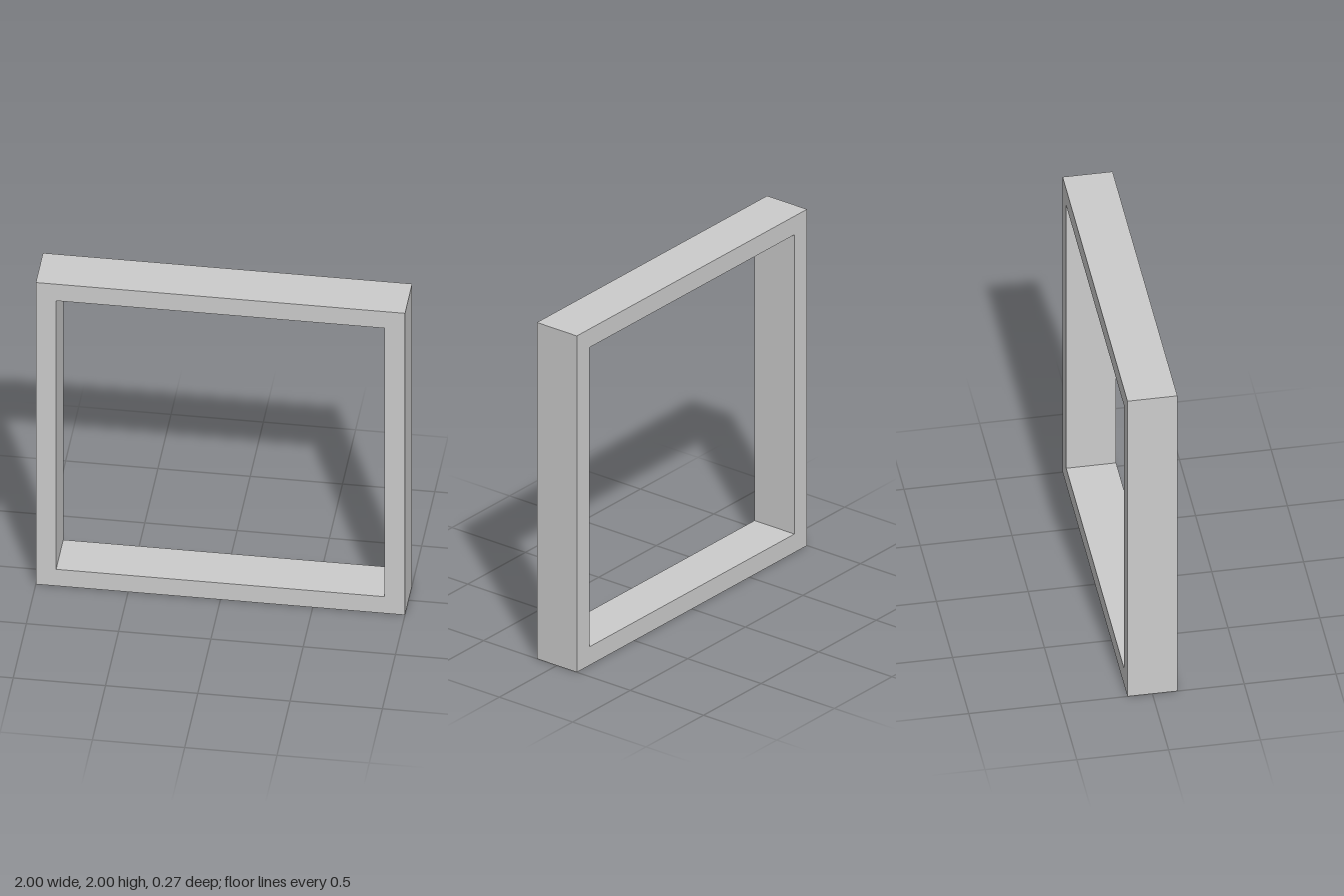
import * as THREE from 'three';

const SIZE = 2, BORDER = 0.11, DEPTH = 0.272;

// Square outline, wound counter-clockwise
function square(path, half) {
  path.moveTo(-half, -half);
  path.lineTo(half, -half);
  path.lineTo(half, half);
  path.lineTo(-half, half);
  path.closePath();
  return path;
}

export function createModel() {
  const group = new THREE.Group();
  group.name = 'squareFrame';

  // Square frame with an open centre
  const shape = square(new THREE.Shape(), SIZE / 2);
  shape.holes.push(square(new THREE.Path(), SIZE / 2 - BORDER));
  const geometry = new THREE.ExtrudeGeometry(shape, { depth: DEPTH, bevelEnabled: false });
  geometry.translate(0, SIZE / 2, -DEPTH / 2);

  const frame = new THREE.Mesh(
    geometry,
    new THREE.MeshStandardMaterial({ color: 0xcccccc, flatShading: true })
  );
  frame.name = 'frame';
  group.add(frame);
  return group;
}
